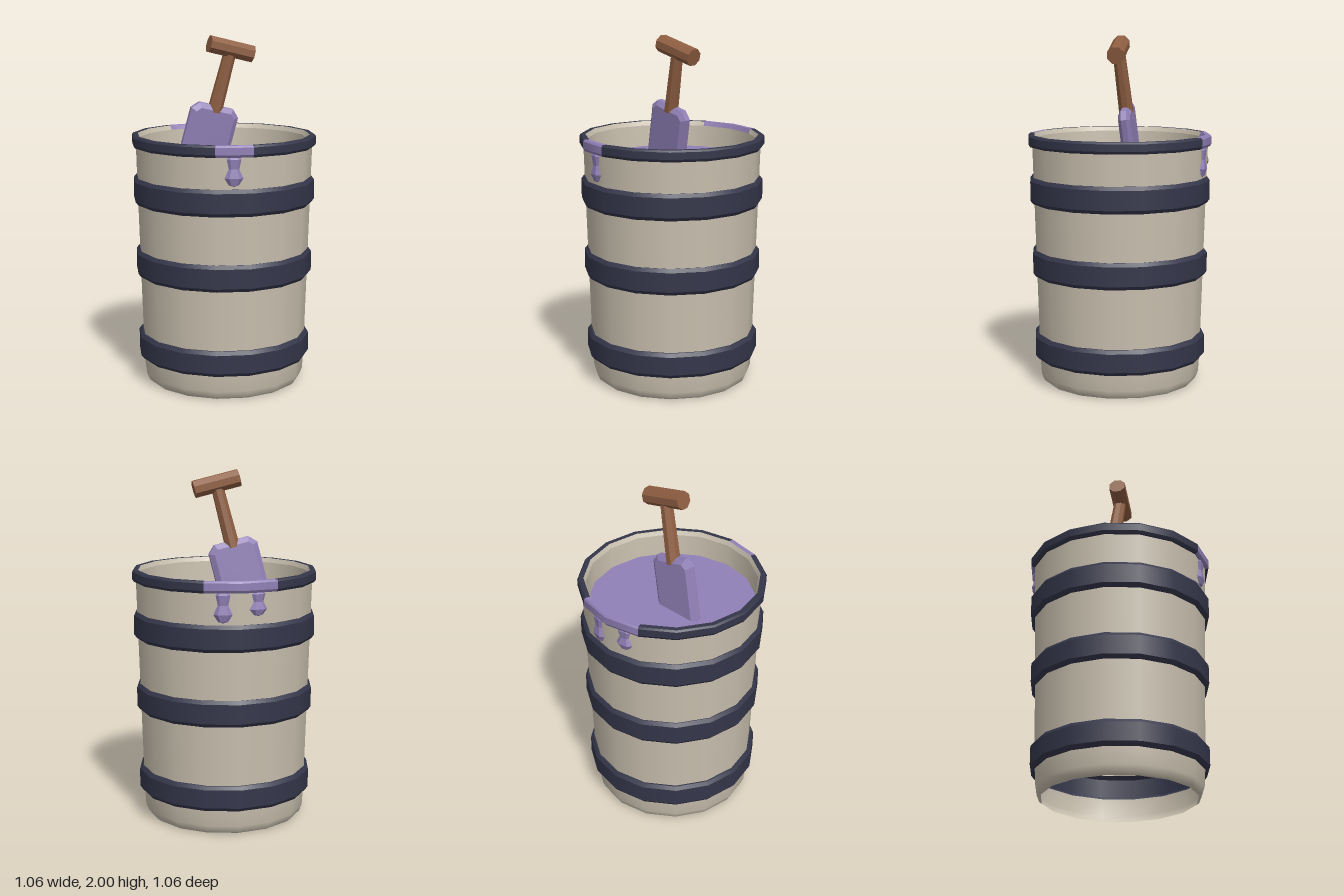
import * as THREE from 'three';
import { mergeGeometries } from 'three/addons/utils/BufferGeometryUtils.js';

const CREAM = 0xc8bfae, DARK = 0x34364a, PURPLE = 0x9080b6, WOOD = 0x8f5f42;
const SIDES = 16, STEP = (Math.PI * 2) / SIDES;

function material(color, flatShading = false) {
  return new THREE.MeshStandardMaterial({ color, flatShading, side: THREE.DoubleSide });
}

function add(parent, name, geometry, color, flat = false) {
  const mesh = new THREE.Mesh(geometry, material(color, flat));
  mesh.name = name;
  parent.add(mesh);
  return mesh;
}

// Turned ring, smooth around and crisp along the profile, covering some of the sides
function ring(profile, first = 0, count = SIDES) {
  const parts = [];
  for (let i = 0; i < profile.length - 1; i++) {
    const pair = [profile[i], profile[i + 1]].map(([r, y]) => new THREE.Vector2(r, y));
    parts.push(new THREE.LatheGeometry(pair, count, first * STEP, count * STEP));
  }
  return mergeGeometries(parts);
}

const wallRadius = (y) => 0.468 + 0.029 * y;

function createBucket() {
  const bucket = new THREE.Group();
  bucket.name = 'bucket';

  // Rounded foot, open underneath
  const foot = [[0.435, 0], [0.45, 0.012], [0.466, 0.05], [wallRadius(0.145), 0.145]];
  add(bucket, 'foot', new THREE.LatheGeometry(foot.map(([r, y]) => new THREE.Vector2(r, y)), SIDES), CREAM);

  // Bands with a wall section above each one
  const bands = [[0.145, 0.29, 0.5], [0.63, 0.78, 0.51], [1.05, 1.2, 0.522]];
  const rimBottom = 1.375;
  bands.forEach(([y0, y1, r], i) => {
    add(bucket, 'band', ring([
      [wallRadius(y0), y0], [r - 0.015, y0], [r, y0 + 0.02],
      [r, y1 - 0.02], [r - 0.015, y1], [wallRadius(y1), y1],
    ]), DARK);
    const top = i < 2 ? bands[i + 1][0] : rimBottom;
    add(bucket, 'wall', ring([[wallRadius(y1), y1], [wallRadius(top), top]]), CREAM);
  });

  // Rim and inner lip, painted over at one front side and two back sides
  const rim = [
    [wallRadius(rimBottom), rimBottom], [0.52, rimBottom], [0.53, 1.39],
    [0.53, 1.43], [0.522, 1.44], [0.495, 1.44],
  ];
  const lip = [[0.495, 1.44], [0.483, 1.415]];
  add(bucket, 'rim', ring(rim, 0, 7), DARK);
  add(bucket, 'rim', ring(rim, 9, 6), DARK);
  add(bucket, 'paintedRimFront', ring(rim, 15, 1), PURPLE);
  add(bucket, 'paintedRimBack', ring(rim, 7, 2), PURPLE);
  add(bucket, 'lip', ring(lip, 9, 14), CREAM);
  add(bucket, 'paintedLipBack', ring(lip, 7, 2), PURPLE);
  add(bucket, 'innerWall', ring([[0.483, 1.415], [0.475, 1.29]]), CREAM);

  // Filling
  const fill = add(bucket, 'paint', new THREE.CircleGeometry(0.475, SIDES), PURPLE);
  fill.material.side = THREE.FrontSide;
  fill.rotation.x = -Math.PI / 2;
  fill.position.y = 1.29;
  return bucket;
}

// Flattened drop hanging on the wall at a given side
function createDrip(side, length) {
  const profile = [[0, -1], [0.026, -0.95], [0.05, -0.72], [0.03, -0.42], [0.042, -0.1], [0.03, 0], [0, 0]];
  const geometry = new THREE.LatheGeometry(
    profile.map(([r, y]) => new THREE.Vector2(r, y * length)), 6, Math.PI / 6);
  geometry.scale(1.08, 1, 0.52);
  const drip = new THREE.Group();
  drip.name = 'drip';
  add(drip, 'dripBody', geometry, PURPLE, true).position.set(0, 1.38, 0.493);
  drip.rotation.y = side * STEP;
  return drip;
}

function createShovel() {
  const shovel = new THREE.Group();
  shovel.name = 'shovel';

  // Grip
  const grip = new THREE.CylinderGeometry(0.051, 0.051, 0.265, 8);
  grip.rotateY(Math.PI / 8);
  grip.rotateZ(Math.PI / 2);
  add(shovel, 'grip', grip, WOOD, true);

  // Shaft
  const shaft = new THREE.CylinderGeometry(0.036, 0.043, 0.37, 8);
  shaft.rotateY(Math.PI / 8);
  const tilted = new THREE.Group();
  tilted.name = 'shaftAndBlade';
  add(tilted, 'shaft', shaft, WOOD, true).position.y = -0.185;

  // Blade with clipped corners and bevelled edges, sunk into the paint
  const w = 0.115, top = -0.36, bottom = -0.7, c = 0.025;
  const shape = new THREE.Shape([
    [-w, bottom], [w, bottom], [w, top - c], [w - c, top], [-w + c, top], [-w, top - c],
  ].map(([x, y]) => new THREE.Vector2(x, y)));
  const blade = new THREE.ExtrudeGeometry(shape, {
    depth: 0.03, bevelThickness: 0.02, bevelSize: 0.028, bevelSegments: 1,
  });
  blade.translate(0, 0, -0.015);
  add(tilted, 'blade', blade, PURPLE, true);
  tilted.rotation.x = 0.09;
  shovel.add(tilted);

  shovel.position.set(0.045, 1.92, -0.002);
  shovel.rotation.z = -0.24;
  return shovel;
}

export function createModel() {
  const model = new THREE.Group();
  model.name = 'paintBucketWithShovel';
  model.add(createBucket());
  // One drip in front, a long and a short one behind
  for (const [side, length] of [[-0.5, 0.165], [7.5, 0.17], [8.5, 0.135]]) {
    model.add(createDrip(side, length));
  }
  model.add(createShovel());
  return model;
}
